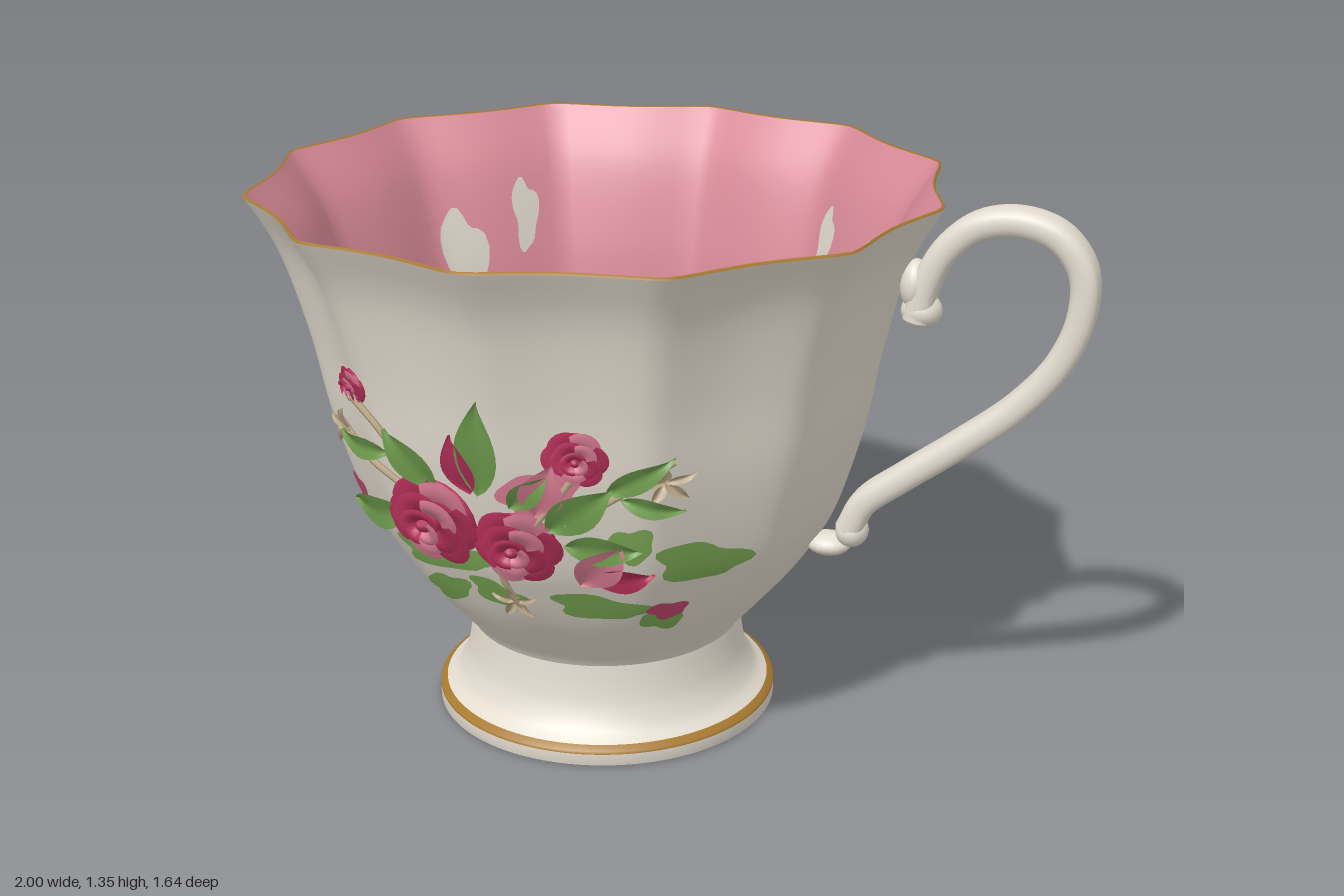
import * as THREE from 'three';
import { mergeVertices } from 'three/addons/utils/BufferGeometryUtils.js';

const mat = (name, color, side = THREE.FrontSide) =>
  Object.assign(new THREE.MeshStandardMaterial({ color, side }), { name });
const DS = THREE.DoubleSide;
const M = {
  china: mat('ivory china', 0xe4ddd0),
  patch: mat('ivory patch', 0xdad4c8, DS),
  pink: mat('pink glaze', 0xda8b99),
  gold: mat('gold trim', 0xa87a30),
  crimson: mat('crimson petal', 0xb5305a, DS),
  paintPink: mat('painted rose', 0xc54a70, DS),
  rose: mat('rose petal', 0xdc7f96, DS),
  green: mat('leaf green', 0x72a050, DS),
  paintGreen: mat('painted green', 0x7fae57, DS),
  stem: mat('stem tan', 0xbba888, DS),
};
const CX = -0.18; // cup axis

// Smooth profile from a few [radius, height] points
const smooth = (pts, n = 48) =>
  new THREE.SplineCurve(pts.map(p => new THREE.Vector2(...p))).getPoints(n);
const OUTER = smooth([[0.335, 0.22], [0.355, 0.25], [0.40, 0.30], [0.485, 0.40], [0.55, 0.5], [0.598, 0.6],
  [0.657, 0.8], [0.695, 1.0], [0.75, 1.2], [0.82, 1.33]]);
const INNER = smooth([[0.813, 1.333], [0.73, 1.2], [0.668, 1.0], [0.628, 0.8], [0.568, 0.6], [0.52, 0.5],
  [0.452, 0.4], [0.40, 0.345]]);

// Twelve scallops with softened ridges, fading out towards the foot
function flute(a, y) {
  const { smoothstep } = THREE.MathUtils;
  const scallop = Math.sqrt(Math.sin(6 * a) ** 2 + 0.012) - 0.11;
  return 1 - (0.03 * smoothstep(y, 0.24, 0.5) + 0.032 * smoothstep(y, 0.6, 1.33)) * scallop
    + 0.014 * smoothstep(y, 0.8, 1.33) * Math.abs(Math.sin(2 * a));
}

function radiusAt(profile, a, y) {
  let i = 1;
  while (i < profile.length - 1 && (profile[i].y - y) * (profile[i - 1].y - y) > 0) i++;
  const p = profile[i - 1], q = profile[i];
  const t = THREE.MathUtils.clamp((y - p.y) / (q.y - p.y), 0, 1);
  return (p.x + (q.x - p.x) * t) * flute(a, y);
}

// Move each vertex of a geometry by a rule returning a Vector3, without seams
function warp(source, rule) {
  source.deleteAttribute('uv');
  source.deleteAttribute('normal');
  const g = mergeVertices(source), p = g.attributes.position;
  for (let i = 0; i < p.count; i++) {
    const v = rule(p.getX(i), p.getY(i), p.getZ(i));
    p.setXYZ(i, v.x, v.y, v.z);
  }
  g.computeVertexNormals();
  return g;
}
const named = (o, name) => Object.assign(o, { name });
const v2 = pts => pts.map(p => new THREE.Vector2(...p));

// Lathe with the scallops pressed in
const shell = (name, profile, material) =>
  named(new THREE.Mesh(warp(new THREE.LatheGeometry(profile, 144), (x, y, z) => {
    const f = flute(Math.atan2(x, z), y);
    return new THREE.Vector3(x * f + CX, y, z * f);
  }), material), name);

// Point on the outer wall at front position x, y, raised by off
function onWall(x, y, off, side) {
  let a = 0, r = 0.6;
  for (let i = 0; i < 12; i++) {
    r = radiusAt(OUTER, a, y);
    a = Math.asin(THREE.MathUtils.clamp((x - CX) / r, -0.99, 0.99));
  }
  return new THREE.Vector3(CX + (r + off) * Math.sin(a), y, side * (r + off) * Math.cos(a));
}

// Uneven disc used for painted patches
const wobble = (u, v) => 1 + 0.16 * Math.sin(3 * Math.atan2(v, u) + 1) + 0.1 * Math.sin(5 * Math.atan2(v, u));
const disc = () => new THREE.RingGeometry(0.001, 1, 28, 6);

// One spray of raised roses, leaves and painted patches
function spray(side) {
  const group = named(new THREE.Group(), side > 0 ? 'frontSpray' : 'backSpray');
  const add = (name, g, m) => group.add(named(new THREE.Mesh(g, m), name));
  const at = (x, y, off) => onWall(x, y, off, side);

  const patch = (m, x, y, w, h, deg, off = 0.006) => {
    const c = Math.cos(deg * Math.PI / 180), s = Math.sin(deg * Math.PI / 180);
    add('paintedPatch', warp(disc(), (u, v) => {
      const k = wobble(u, v), a = u * k * w, b = v * k * h;
      return at(x + a * c - b * s, y + a * s + b * c, off);
    }), m);
  };

  // Pointed leaf folded along its middle, growing from x, y
  const leaf = (m, x, y, deg, len, w, lift = 0.025) => {
    const c = Math.cos(deg * Math.PI / 180), s = Math.sin(deg * Math.PI / 180);
    add('leaf', warp(new THREE.PlaneGeometry(1, 1, 10, 6), (u, v) => {
      const t = u + 0.5, a = t * len, b = 2 * v * w * Math.sin(Math.PI * Math.pow(t, 0.8));
      return at(x + a * c - b * s, y + a * s + b * c,
        0.012 + lift * Math.sin(Math.PI * t * 0.7) + 0.02 * Math.abs(v));
    }), m);
  };

  const dome = (name, m, x, y, r, h) => add(name, warp(new THREE.SphereGeometry(1, 16, 10),
    (u, v, w) => at(x + u * r, y + v * r, Math.max(w * h, -0.005))), m);

  // Rose: rings of overlapping petals around a raised heart
  const bloom = (x, y, R) => {
    const H = R * 0.62;
    dome('roseBase', M.crimson, x, y, R * 0.85, H * 0.5);
    [[6, 1, 0.2], [5, 0.72, 0.55], [3, 0.42, 0.82]].forEach(([n, size, base], ring) => {
      for (let j = 0; j < n; j++) {
        const mid = (j / n) * 2 * Math.PI + ring * 0.7;
        add('rosePetal', warp(new THREE.PlaneGeometry(1, 1, 6, 8), (u, v) => {
          const s = u + 0.5, t = 2 * v, a = mid + t * 1.25 * Math.PI / n;
          const rad = R * size * (0.3 + 0.7 * s) * (1 - 0.16 * t * t);
          return at(x + rad * Math.cos(a), y + rad * Math.sin(a),
            H * (base + 0.25 * Math.sin(s * 2.2) + 0.12 * t));
        }), (ring + j) % 3 === 1 ? M.rose : M.crimson);
      }
    });
    dome('roseHeart', M.crimson, x, y, R * 0.24, H * 1.1);
  };

  const stem = (...pts) => add('stem', new THREE.TubeGeometry(
    new THREE.CatmullRomCurve3(pts.map(([x, y]) => at(x, y, 0.02))), 16, 0.008, 6), M.stem);

  // Painted leaves and petals
  [[M.paintGreen, -0.36, 0.575, 0.14, 0.045, 5], [M.paintGreen, -0.38, 0.46, 0.065, 0.042, 20],
    [M.paintGreen, -0.24, 0.49, 0.07, 0.04, -10], [M.paintGreen, 0.21, 0.59, 0.08, 0.055, -15],
    [M.paintGreen, -0.01, 0.47, 0.1, 0.04, -8], [M.paintGreen, 0.11, 0.42, 0.045, 0.035, 40],
    [M.paintPink, 0.125, 0.45, 0.035, 0.028, 10, 0.009], [M.paintPink, -0.665, 0.615, 0.034, 0.045, 20],
    [M.rose, -0.09, 0.79, 0.09, 0.055, 20], [M.paintGreen, 0.09, 0.66, 0.05, 0.045, 30],
  ].forEach(p => patch(...p));

  // Raised leaves; the upper ones blush on the back
  const tip = side > 0 ? M.green : M.crimson;
  [[M.green, -0.33, 0.77, 130, 0.17, 0.045], [M.green, -0.42, 0.68, 195, 0.2, 0.045],
    [tip, -0.22, 0.78, 82, 0.25, 0.05], [M.green, -0.15, 0.76, 45, 0.13, 0.03],
    [M.green, -0.08, 0.7, 40, 0.19, 0.045], [M.green, -0.05, 0.66, 0, 0.16, 0.04],
    [M.green, 0.05, 0.8, 35, 0.17, 0.028], [M.green, 0.08, 0.79, -15, 0.12, 0.025],
    [M.green, -0.45, 0.83, 175, 0.14, 0.03], [M.crimson, -0.24, 0.78, 100, 0.15, 0.04],
    [M.rose, -0.03, 0.55, 50, 0.16, 0.045], [M.crimson, 0, 0.56, 15, 0.13, 0.035],
    [M.rose, -0.1, 0.74, 70, 0.15, 0.045],
  ].forEach(p => leaf(...p));

  // Stems with buds and small star sprigs
  stem([-0.38, 0.76], [-0.46, 0.88], [-0.54, 0.95]);
  stem([-0.4, 0.74], [-0.5, 0.8], [-0.64, 0.84]);
  stem([-0.1, 0.72], [-0.04, 0.8], [0, 0.86]);
  stem([-0.04, 0.72], [0.08, 0.8], [0.19, 0.88]);
  stem([-0.2, 0.6], [-0.19, 0.53], [-0.17, 0.46]);
  [[-0.18, 0.49], [0.17, 0.83], [-0.6, 0.83]].forEach(([x, y]) => {
    for (let i = 0; i < 5; i++) leaf(M.stem, x, y, 20 + i * 72, 0.055, 0.011, 0.015);
  });

  bloom(-0.35, 0.68, 0.118);
  bloom(-0.15, 0.655, 0.1);
  bloom(-0.005, 0.885, 0.07);
  bloom(-0.555, 0.965, 0.048);
  return group;
}

// Flat-strap handle with curled ends
function handle() {
  const group = named(new THREE.Group(), 'handle');
  const path = [[0.59, 1.07], [0.605, 1.15], [0.65, 1.24], [0.72, 1.3], [0.81, 1.318], [0.9, 1.292], [0.957, 1.22],
    [0.962, 1.12], [0.92, 1.0], [0.83, 0.885], [0.7, 0.775], [0.57, 0.675], [0.48, 0.6], [0.445, 0.53]];
  const curve = new THREE.CatmullRomCurve3(path.map(([x, y]) => new THREE.Vector3(x, y, 0)));
  const square = (x, y, z) => new THREE.Vector3(x, y, 0.045 * Math.sign(z) * Math.sqrt(Math.abs(z) / 0.033));
  group.add(named(new THREE.Mesh(warp(new THREE.TubeGeometry(curve, 90, 0.033, 20), square), M.china), 'handleStrap'));
  for (const [x, y, rx, ry] of [[0.598, 1.09, 0.048, 0.042], [0.582, 1.15, 0.036, 0.06],
    [0.452, 0.523, 0.04, 0.04], [0.395, 0.482, 0.055, 0.028]]) {
    const curl = named(new THREE.Mesh(new THREE.SphereGeometry(1, 20, 14), M.china), 'handleCurl');
    curl.position.set(x, y, 0);
    curl.scale.set(rx, ry, 0.047);
    group.add(curl);
  }
  return group;
}

export function createModel() {
  const model = named(new THREE.Group(), 'teacup');

  // Bowl, lining and thin gilt rim
  model.add(
    shell('bowlOutside', OUTER, M.china),
    shell('rim', v2([[0.82, 1.33], [0.817, 1.336], [0.813, 1.333]]), M.gold),
    shell('bowlLining', INNER, M.pink),
    shell('bowlFloor', v2([[0.40, 0.345], [0.37, 0.322], [0.33, 0.31], [0, 0.305]]), M.china),
  );

  // Flared foot with a gold band and a hollow underside
  model.add(
    shell('footUnderside', smooth([[0, 0.2], [0.2, 0.185], [0.29, 0.12], [0.34, 0.05], [0.385, 0.003]], 20), M.china),
    shell('footBase', v2([[0.385, 0.003], [0.418, 0], [0.425, 0.004], [0.425, 0.033]]), M.china),
    shell('footBand', v2([[0.425, 0.033], [0.424, 0.04], [0.408, 0.05]]), M.gold),
    shell('foot', smooth([[0.408, 0.05], [0.378, 0.075], [0.355, 0.12], [0.344, 0.17], [0.338, 0.225]], 20), M.china),
  );

  // Bare patches on the lining: angle, height, half angle, half height
  for (const side of [1, -1]) {
    for (const [deg, y, da, dy] of [[-55, 0.97, 5, 0.14], [-39, 1.08, 3, 0.09], [-52, 0.6, 7.5, 0.12],
      [-45, 0.47, 6, 0.07], [53, 0.47, 7, 0.075], [55, 0.98, 4.2, 0.14], [37.5, 1.07, 3, 0.09], [49, 0.74, 3, 0.1]]) {
      const g = warp(disc(), (u, v) => {
        const k = wobble(u, v), a = (deg + u * k * da) * Math.PI / 180, h = y + v * k * dy;
        const r = radiusAt(INNER, a, h) - 0.008;
        return new THREE.Vector3(CX + r * Math.sin(a), h, side * r * Math.cos(a));
      });
      model.add(named(new THREE.Mesh(g, M.patch), 'liningPatch'));
    }
  }

  model.add(handle(), spray(1), spray(-1));
  return model;
}
